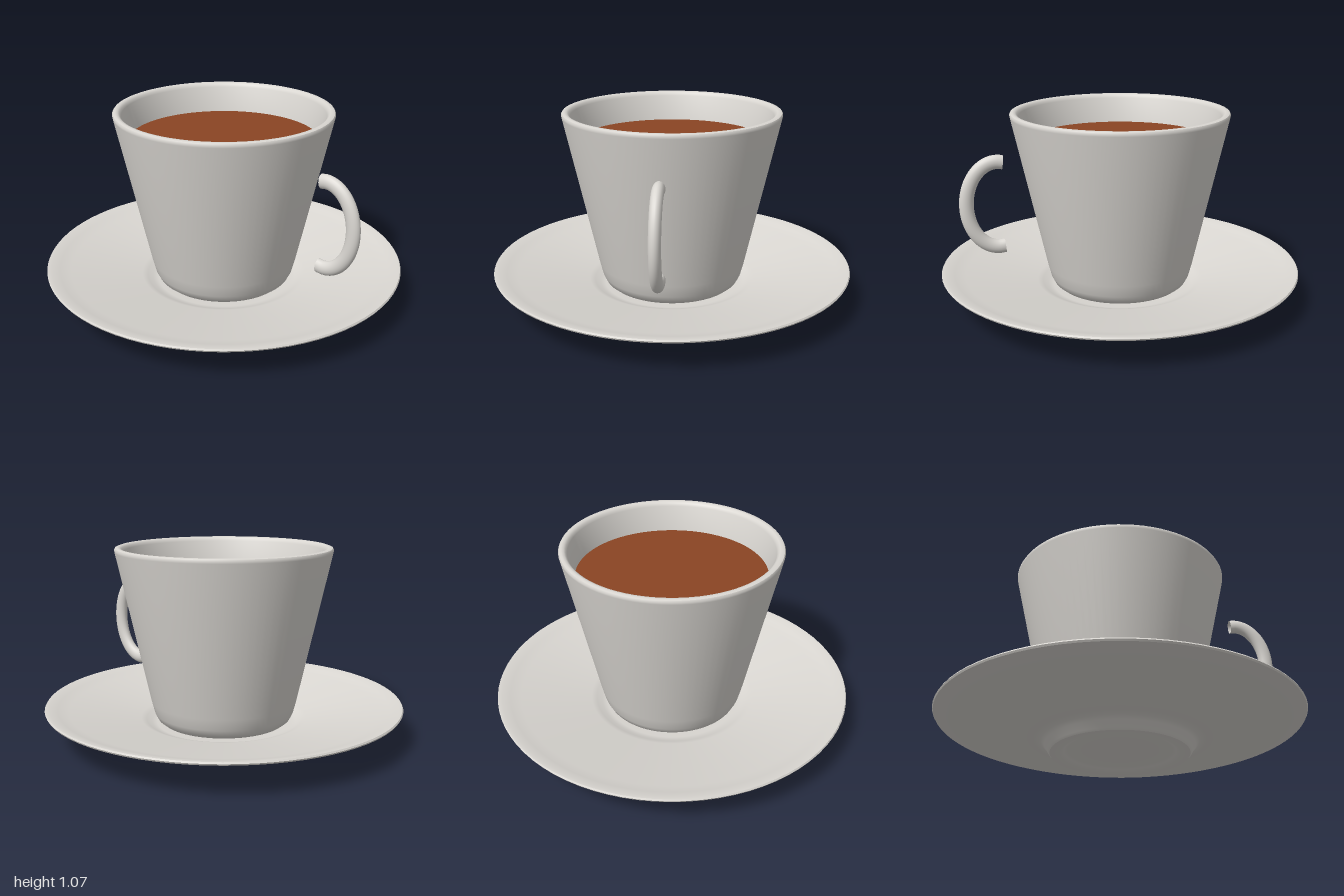
import * as THREE from 'three';
import { toCreasedNormals } from 'three/addons/utils/BufferGeometryUtils.js';

const porcelain = new THREE.MeshStandardMaterial({ color: 0xdad7d2, side: THREE.DoubleSide });
porcelain.name = 'porcelain';
const coffee = new THREE.MeshStandardMaterial({ color: 0x8a4523 });
coffee.name = 'coffee';

// Closed solid of revolution from [radius, height] pairs, running up the outside and back down the inside
function turned(name, profile) {
  const points = profile.map(([r, y]) => new THREE.Vector2(r, y));
  const geometry = toCreasedNormals(new THREE.LatheGeometry(points, 80), 0.7);
  const mesh = new THREE.Mesh(geometry, porcelain);
  mesh.name = name;
  return mesh;
}

export function createModel() {
  const model = new THREE.Group();
  model.name = 'cupAndSaucer';

  // Saucer: recessed foot, flared underside, thin rim, shallow well under the cup
  model.add(turned('saucer', [
    [0, 0.02], [0.28, 0.02], [0.3, 0.012], [0.32, 0], [0.375, 0], [0.385, 0.01],
    [0.405, 0.045], [0.425, 0.063], [0.46, 0.071], [0.88, 0.14], [0.95, 0.162],
    [0.995, 0.178], [1, 0.187], [0.995, 0.195], [0.975, 0.194], [0.93, 0.18],
    [0.87, 0.164], [0.47, 0.1], [0.44, 0.092], [0.41, 0.075], [0.38, 0.07], [0, 0.07],
  ]));

  // Cup: rounded base, straight tapered wall, rounded lip, hollow inside
  model.add(turned('cup', [
    [0, 0.072], [0.32, 0.072], [0.35, 0.08], [0.375, 0.1], [0.393, 0.135],
    [0.41, 0.2], [0.595, 1.04], [0.597, 1.052], [0.592, 1.061], [0.58, 1.065],
    [0.567, 1.063], [0.557, 1.055], [0.55, 1.04], [0.519, 0.9], [0.37, 0.2],
    [0.34, 0.14], [0.3, 0.12], [0, 0.12],
  ]));

  // Drink surface
  const drink = new THREE.Mesh(new THREE.CircleGeometry(0.52, 80).rotateX(-Math.PI / 2), coffee);
  drink.name = 'drink';
  drink.position.y = 0.9;
  model.add(drink);

  // Handle: open-ended tube along just over half an ellipse, slightly flattened in z
  const path = [];
  for (let i = 0; i <= 16; i++) {
    const a = THREE.MathUtils.degToRad(-100 + (200 * i) / 16);
    path.push(new THREE.Vector3(0.675 + 0.171 * Math.cos(a), 0.575 + 0.238 * Math.sin(a), 0));
  }
  const tube = new THREE.TubeGeometry(new THREE.CatmullRomCurve3(path), 48, 0.039, 20);
  const handle = new THREE.Mesh(tube.scale(1, 1, 0.8), porcelain);
  handle.name = 'handle';
  model.add(handle);

  return model;
}
